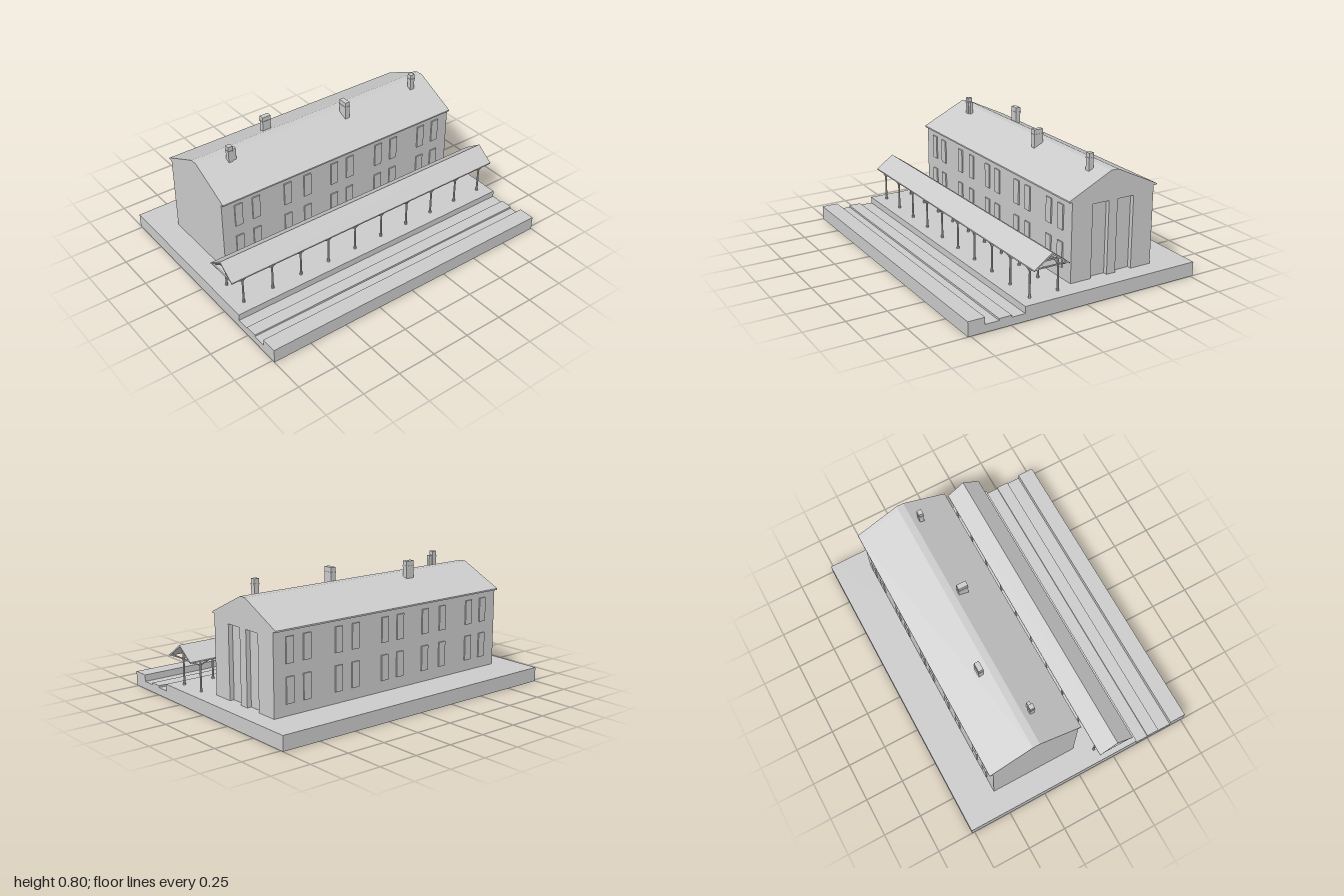
import * as THREE from 'three';

const material = new THREE.MeshStandardMaterial({ color: 0xcccccc, flatShading: true });

function add(parent, name, geometry, x = 0, y = 0, z = 0) {
  const mesh = new THREE.Mesh(geometry, material);
  mesh.name = name;
  mesh.position.set(x, y, z);
  parent.add(mesh);
  return mesh;
}

// Box given by its minimum and maximum corners
function block(parent, name, [x0, y0, z0], [x1, y1, z1]) {
  return add(parent, name, new THREE.BoxGeometry(x1 - x0, y1 - y0, z1 - z0),
    (x0 + x1) / 2, (y0 + y1) / 2, (z0 + z1) / 2);
}

// Cross-section of [z, y] points swept along x
function sweep(parent, name, points, x0, x1) {
  const shape = new THREE.Shape(points.map(([z, y]) => new THREE.Vector2(-z, y)));
  const geometry = new THREE.ExtrudeGeometry(shape, { depth: x1 - x0, bevelEnabled: false });
  return add(parent, name, geometry.rotateY(Math.PI / 2), x0);
}

// Square bar between two points
function bar(parent, name, a, b, width) {
  const from = new THREE.Vector3(...a), to = new THREE.Vector3(...b);
  const mesh = add(parent, name, new THREE.BoxGeometry(width, width, from.distanceTo(to)));
  mesh.position.copy(from).lerp(to, 0.5);
  mesh.lookAt(to);
  return mesh;
}

const FLOOR = 0.09;

function createBuilding() {
  const building = new THREE.Group();
  building.name = 'building';

  // Gabled body with eaves; the right end carries two tall recesses
  const upper = [[0.035, 0.58], [0.055, 0.58], [0.055, 0.589], [-0.227, 0.725],
    [-0.273, 0.725], [-0.555, 0.589], [-0.555, 0.58], [-0.532, 0.58], [-0.532, FLOOR]];
  const notches = [[-0.39, -0.277], [-0.217, -0.105]].flatMap(([a, b]) =>
    [[a, FLOOR], [a, 0.545], [b, 0.545], [b, FLOOR]]);
  sweep(building, 'body', [[0.035, FLOOR], ...upper], -0.85, 0.855);
  sweep(building, 'recessedEndWall', [[0.035, FLOOR], ...upper, ...notches], 0.855, 0.883);

  // Paired windows on two storeys, front and back
  const columns = [-0.738, -0.615, -0.388, -0.243, -0.04, 0.08, 0.305, 0.428, 0.655, 0.775];
  for (const x of columns) {
    for (const [y0, y1] of [[0.16, 0.315], [0.39, 0.542]]) {
      block(building, 'frontWindow', [x - 0.026, y0, 0.03], [x + 0.026, y1, 0.043]);
      block(building, 'backWindow', [x - 0.026, y0, -0.54], [x + 0.026, y1, -0.527]);
    }
  }

  // Chimneys: x, z, width, depth
  const chimneys = [[-0.65, -0.175, 0.03, 0.03], [-0.295, -0.325, 0.058, 0.032],
    [0.198, -0.173, 0.032, 0.062], [0.743, -0.175, 0.032, 0.03]];
  for (const [x, z, w, d] of chimneys) {
    add(building, 'chimney', new THREE.BoxGeometry(w, 0.12, d), x, 0.74, z);
    add(building, 'chimneyBand', new THREE.BoxGeometry(w + 0.005, 0.007, d + 0.005), x, 0.768, z);
  }
  block(building, 'chimneySideFlue', [-0.637, 0.695, -0.185], [-0.61, 0.775, -0.165]);
  return building;
}

function createCanopy() {
  const canopy = new THREE.Group();
  canopy.name = 'platformCanopy';

  // Thin pitched roof
  sweep(canopy, 'canopyRoof', [[0.355, 0.28], [0.355, 0.288], [0.24, 0.37],
    [0.125, 0.288], [0.125, 0.28], [0.24, 0.358]], -1, 1);

  // Ten frames, each with two posts, brackets and a tie beam
  for (let i = 0; i < 10; i++) {
    const x = -0.915 + i * 0.2037;
    for (const z of [0.332, 0.146]) {
      add(canopy, 'post', new THREE.CylinderGeometry(0.0055, 0.0065, 0.2, 8), x, FLOOR + 0.1, z);
      add(canopy, 'postFoot', new THREE.CylinderGeometry(0.007, 0.009, 0.022, 8), x, FLOOR + 0.011, z);
      add(canopy, 'postCapital', new THREE.CylinderGeometry(0.009, 0.007, 0.012, 8), x, 0.255, z);
      for (const side of [-1, 1])
        bar(canopy, 'bracket', [x, 0.253, z], [x + side * 0.075, 0.285, z], 0.007);
    }
    block(canopy, 'tieBeam', [x - 0.004, 0.286, 0.135], [x + 0.004, 0.294, 0.345]);
  }
  // Open gable ends
  for (const x of [-0.994, 0.994])
    block(canopy, 'endTieBeam', [x - 0.004, 0.287, 0.135], [x + 0.004, 0.294, 0.345]);
  return canopy;
}

export function createModel() {
  const model = new THREE.Group();
  model.name = 'railwayStation';

  // Ground slab with the sunken track bed and raised track strip
  sweep(model, 'base', [[0.768, 0], [0.768, FLOOR], [0.662, FLOOR], [0.662, 0.048],
    [0.575, 0.048], [0.575, 0.06], [0.495, 0.06], [0.495, 0.048],
    [0.41, 0.048], [0.41, FLOOR], [-0.768, FLOOR], [-0.768, 0]], -1, 1);

  model.add(createBuilding(), createCanopy());
  return model;
}
